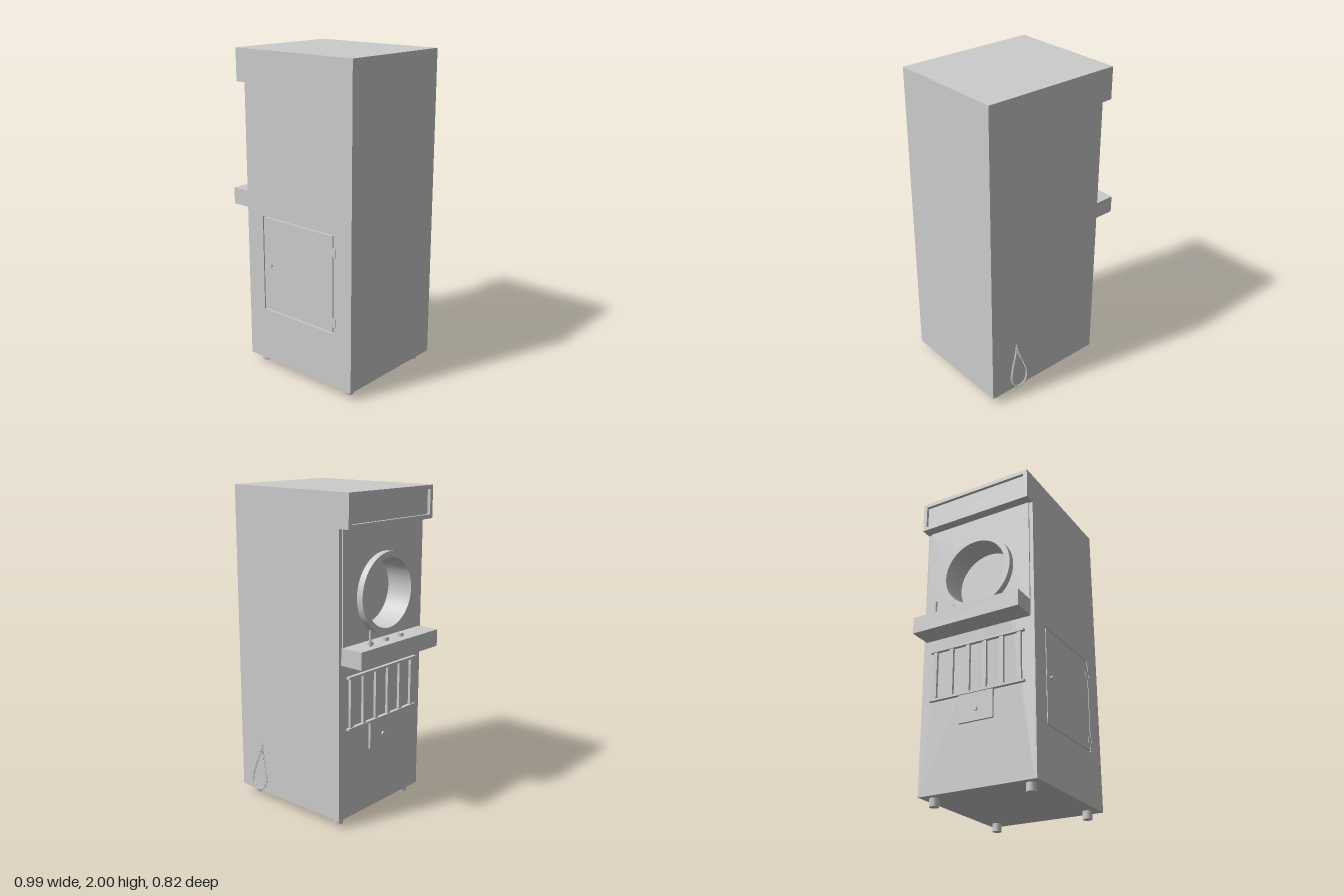
import * as THREE from 'three';

const grey = new THREE.MeshStandardMaterial({ color: 0xcccccc });

export function createModel() {
  const model = new THREE.Group();

  function add(name, geometry, parent = model) {
    const mesh = new THREE.Mesh(geometry, grey);
    mesh.name = name;
    parent.add(mesh);
    return mesh;
  }
  // Box from its min and max on each axis
  function box(name, x0, x1, y0, y1, z0, z1) {
    const mesh = add(name, new THREE.BoxGeometry(x1 - x0, y1 - y0, z1 - z0));
    mesh.position.set((x0 + x1) / 2, (y0 + y1) / 2, (z0 + z1) / 2);
    return mesh;
  }
  function cylinder(name, r, h, x, y, z, axis = 'y', sides = 24) {
    const geometry = new THREE.CylinderGeometry(r, r, h, sides);
    if (axis === 'x') geometry.rotateZ(Math.PI / 2);
    if (axis === 'z') geometry.rotateX(Math.PI / 2);
    const mesh = add(name, geometry);
    mesh.position.set(x, y, z);
    return mesh;
  }
  function rect(a0, a1, b0, b1, Type = THREE.Shape) {
    const s = new Type();
    s.moveTo(a0, b0).lineTo(a1, b0).lineTo(a1, b1).lineTo(a0, b1).closePath();
    return s;
  }
  // Extrude a shape drawn in (z, y) along x, from x0 to x1
  function slabX(name, shape, x0, x1) {
    const g = new THREE.ExtrudeGeometry(shape, { depth: x1 - x0, bevelEnabled: false, curveSegments: 48 });
    g.rotateY(-Math.PI / 2).translate(x1, 0, 0);
    return add(name, g);
  }
  function withHole(shape, hole) {
    shape.holes.push(hole);
    return shape;
  }

  const ringY = 1.395, ringZ = 0.02, ringIn = 0.21, ringOut = 0.245;
  const circle = (r, Type = THREE.Path) => new Type().absarc(ringZ, ringY, r, 0, Math.PI * 2, false);

  // Cabinet: solid core, side slab with the round window, front skin with the door opening
  box('cabinetCore', -0.22, 0.495, 0.05, 2, -0.37, 0.385);
  slabX('windowSlab', withHole(rect(-0.37, 0.385, 0.05, 2), circle(ringIn)), -0.345, -0.22);
  const skin = withHole(rect(-0.345, 0.495, 0.05, 2), rect(-0.215, 0.36, 0.39, 1.0, THREE.Path));
  add('frontSkin', new THREE.ExtrudeGeometry(skin, { depth: 0.015, bevelEnabled: false })).position.z = 0.385;

  // Service door with lock and hinges
  box('door', -0.207, 0.352, 0.398, 0.992, 0.385, 0.4);
  cylinder('doorLock', 0.012, 0.02, -0.15, 0.695, 0.401, 'z');
  for (const y of [0.46, 0.895]) {
    box('hingeLeaf', 0.33, 0.36, y - 0.025, y + 0.025, 0.385, 0.403);
    box('hingeKnuckle', 0.36, 0.376, y - 0.029, y + 0.029, 0.395, 0.404);
  }

  // Display panel and round window ring
  slabX('displayPanel', withHole(rect(-0.345, 0.375, 1.125, 1.8), circle(ringIn)), -0.353, -0.345);
  const ringProfile = [[ringIn, 0], [ringOut, 0], [ringOut, 0.05], [ringIn, 0.05], [ringIn, 0]];
  const rp = [];
  // Doubled corners keep the ring edges sharp
  ringProfile.forEach(([r, h], i) => {
    rp.push(new THREE.Vector2(r, h));
    if (i > 0 && i < 4) rp.push(new THREE.Vector2(r, h));
  });
  const ring = add('windowRing', new THREE.LatheGeometry(rp, 64));
  ring.rotation.z = Math.PI / 2;
  ring.position.set(-0.345, ringY, ringZ);

  // Sign box with a recessed face
  box('signBack', -0.395, -0.345, 1.8, 2, -0.37, 0.4);
  slabX('signFrame', withHole(rect(-0.37, 0.4, 1.8, 2), rect(-0.345, 0.375, 1.825, 1.975, THREE.Path)), -0.415, -0.395);

  // Control shelf with lever and buttons
  box('controlShelf', -0.495, -0.345, 1.02, 1.125, -0.35, 0.375);
  cylinder('lever', 0.008, 0.1, -0.45, 1.17, -0.22);
  for (const z of [-0.185, -0.045, 0.095]) cylinder('button', 0.018, 0.02, -0.424, 1.135, z);

  // Grille of upright bars between two rails
  for (const y of [0.62, 0.935]) box('grilleRail', -0.368, -0.345, y - 0.007, y + 0.007, -0.305, 0.335);
  for (let i = 0; i < 6; i++) {
    const z = -0.272 + i * 0.115;
    box('grilleBar', -0.362, -0.345, 0.62, 0.935, z - 0.013, z + 0.013);
  }

  // Coin plate under the grille
  box('coinPlate', -0.36, -0.345, 0.44, 0.613, -0.1, 0.13);
  cylinder('coinPlateLock', 0.013, 0.025, -0.358, 0.51, 0.02, 'x');

  // Feet
  for (const x of [-0.28, 0.42]) for (const z of [-0.3, 0.33]) cylinder('foot', 0.029, 0.06, x, 0.03, z);

  // Twisted cord hanging in a teardrop loop on the back
  const half = [[0.004, 0.345], [0.02, 0.29], [0.045, 0.22], [0.06, 0.15], [0.042, 0.1]];
  const zAt = (y) => -0.37 - 0.036 * (0.38 - y) / 0.3;
  const point = (x, y) => new THREE.Vector3(0.308 + x, y, zAt(y));
  const path = new THREE.CatmullRomCurve3([
    point(-0.002, 0.38),
    ...half.map(([x, y]) => point(-x, y)),
    point(0, 0.083),
    ...half.slice().reverse().map(([x, y]) => point(x, y)),
    point(0.002, 0.38),
  ]);
  const cord = new THREE.Group();
  cord.name = 'cord';
  model.add(cord);
  const steps = 160;
  const frames = path.computeFrenetFrames(steps, false);
  for (const phase of [0, Math.PI]) {
    const strand = [];
    for (let i = 0; i <= steps; i++) {
      const a = phase + (i / steps) * Math.PI * 2 * 16;
      strand.push(path.getPointAt(i / steps)
        .addScaledVector(frames.normals[i], 0.003 * Math.cos(a))
        .addScaledVector(frames.binormals[i], 0.003 * Math.sin(a)));
    }
    add('cordStrand', new THREE.TubeGeometry(new THREE.CatmullRomCurve3(strand), 320, 0.0035, 8), cord);
  }

  return model;
}
